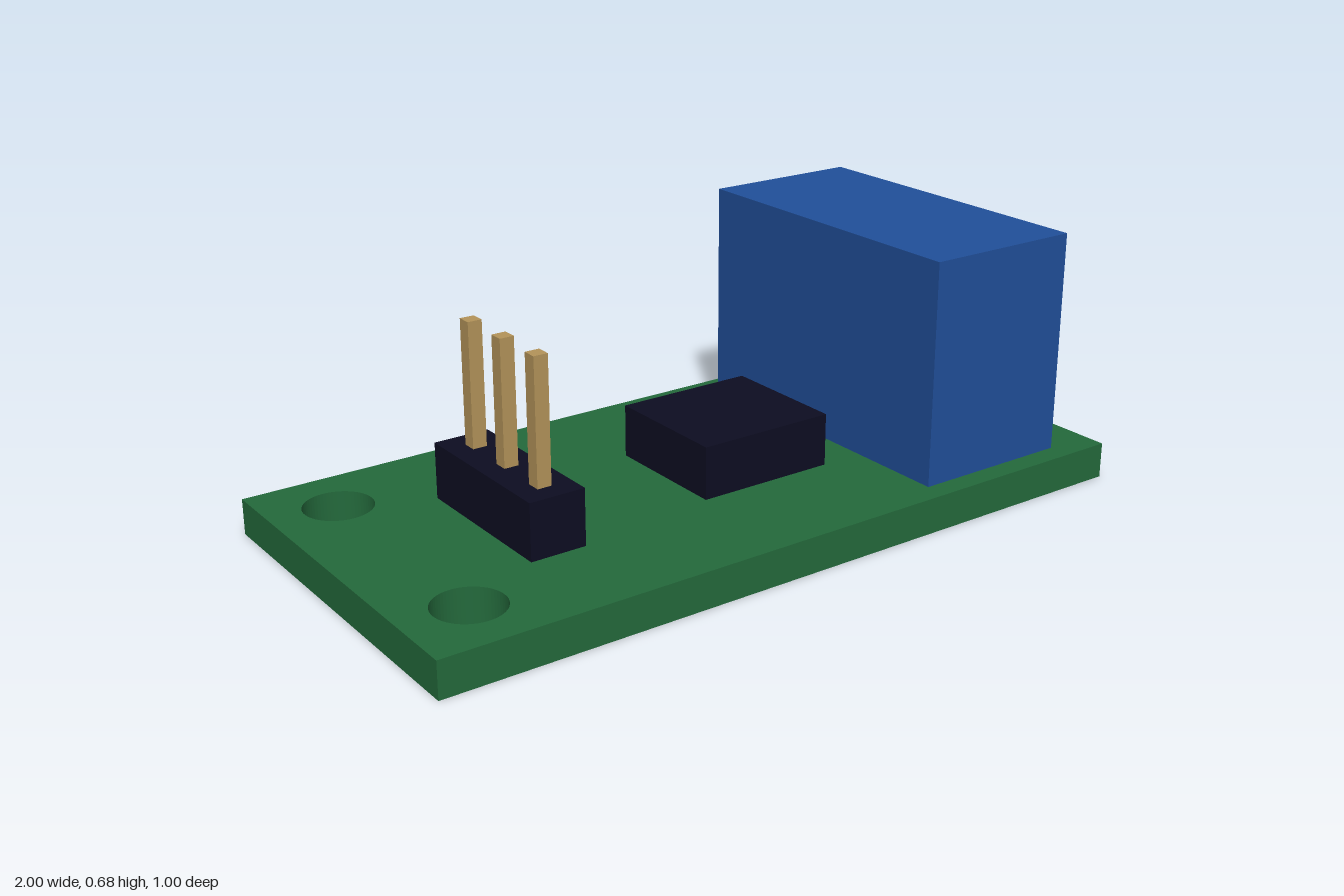
import * as THREE from 'three';

const material = (name, color) => {
  const m = new THREE.MeshStandardMaterial({ color });
  m.name = name;
  return m;
};

export function createModel() {
  const model = new THREE.Group();
  model.name = 'relayBoard';

  const green = material('boardGreen', 0x246a3c);
  const blue = material('relayBlue', 0x21509b);
  const black = material('plasticBlack', 0x0d0d22);
  const gold = material('pinGold', 0xb5955a);

  const boardTop = 0.095;

  // A box resting on height y
  const addBox = (name, mat, [w, h, d], [x, y, z], parent = model) => {
    const mesh = new THREE.Mesh(new THREE.BoxGeometry(w, h, d), mat);
    mesh.name = name;
    mesh.position.set(x, y + h / 2, z);
    parent.add(mesh);
  };

  // Circuit board with two mounting holes
  const outline = new THREE.Shape([
    new THREE.Vector2(-1, -0.5), new THREE.Vector2(1, -0.5),
    new THREE.Vector2(1, 0.5), new THREE.Vector2(-1, 0.5),
  ]);
  for (const side of [-1, 1]) {
    outline.holes.push(new THREE.Path().absarc(-0.824, side * 0.324, 0.089, 0, Math.PI * 2, true));
  }
  const boardGeometry = new THREE.ExtrudeGeometry(outline, {
    depth: boardTop, bevelEnabled: false, curveSegments: 32,
  });
  boardGeometry.rotateX(-Math.PI / 2);
  const board = new THREE.Mesh(boardGeometry, green);
  board.name = 'circuitBoard';
  model.add(board);

  // Relay block and chip
  addBox('relay', blue, [0.441, 0.588, 0.882], [0.647, boardTop, 0]);
  addBox('chip', black, [0.382, 0.14, 0.353], [0.118, boardTop, 0]);

  // Three-pin header
  const header = new THREE.Group();
  header.name = 'pinHeader';
  model.add(header);
  const pitch = 0.149;
  const headerX = -0.53;
  addBox('headerBase', black, [pitch, 0.148, pitch * 3], [headerX, boardTop, 0], header);
  for (const i of [-1, 0, 1]) {
    addBox('headerPin', gold, [0.038, 0.326, 0.038], [headerX, boardTop + 0.147, i * pitch], header);
  }

  return model;
}
